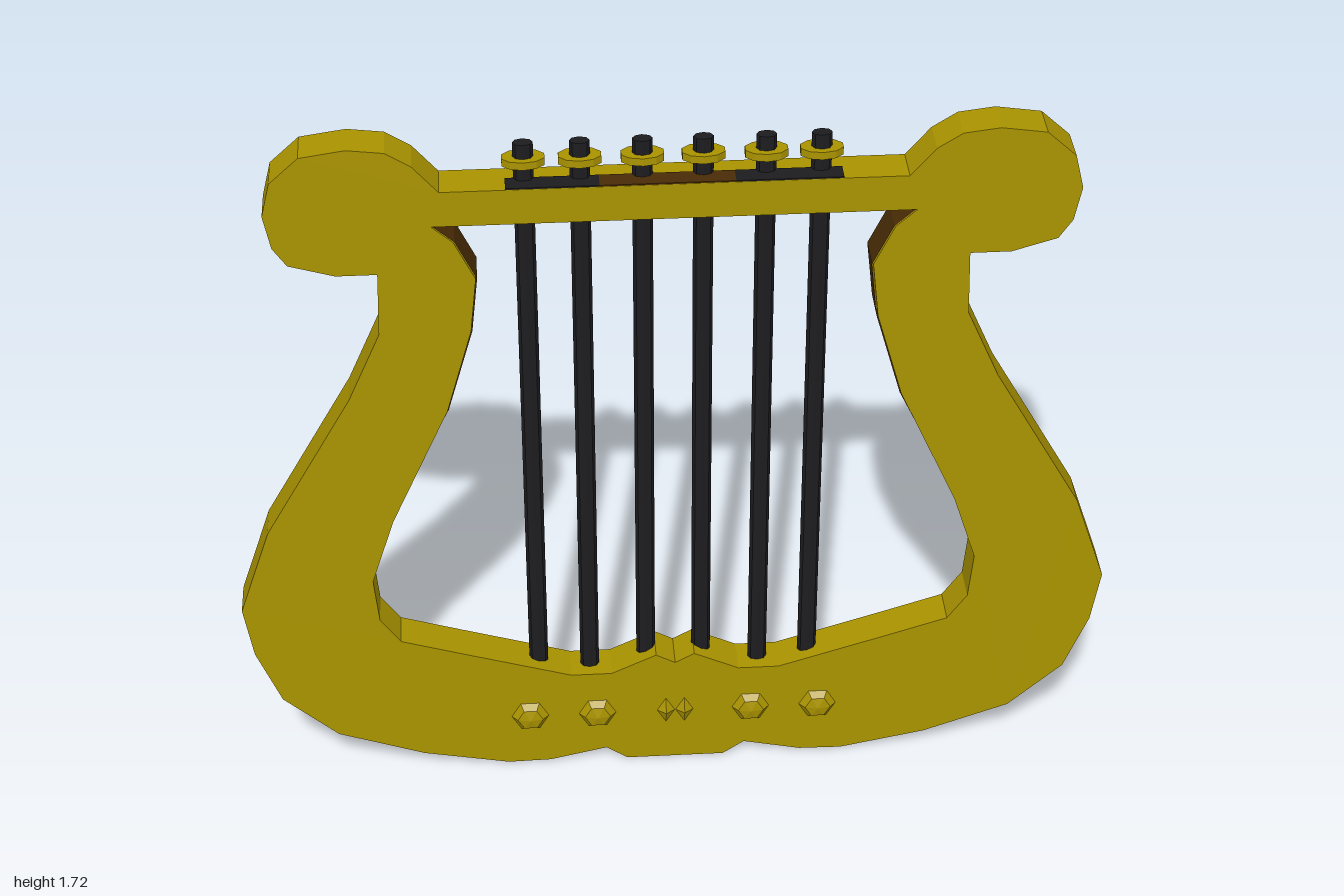
import * as THREE from 'three';

const BACK = -0.055, FRONT = 0.035;

// Right half of the outer edge (bottom to top) and of the opening (top to bottom)
const OUTER = [[0.115, 0], [0.165, 0.035], [0.3, 0.005], [0.4, 0.003], [0.6, 0.043], [0.8, 0.115],
  [0.925, 0.23], [0.98, 0.37], [1, 0.5], [0.925, 0.72], [0.72, 1.08], [0.645, 1.25], [0.64, 1.405],
  [0.73, 1.405], [0.83, 1.435], [0.86, 1.48], [0.875, 1.56], [0.855, 1.64], [0.79, 1.7],
  [0.69, 1.715], [0.61, 1.705], [0.555, 1.67], [0.5, 1.605]];
const INNER = [[0.52, 1.52], [0.475, 1.48], [0.43, 1.385], [0.445, 1.25], [0.505, 1.04], [0.64, 0.74],
  [0.695, 0.57], [0.685, 0.455], [0.64, 0.39], [0.5, 0.345], [0.245, 0.265], [0.15, 0.265], [0.045, 0.315], [0, 0.29]];

// Closes a half outline by mirroring it across x = 0
function mirrored(half) {
  const other = half.filter(p => p[0] > 0).reverse().map(([x, y]) => [-x, y]);
  return [...half, ...other].map(([x, y]) => new THREE.Vector2(x, y));
}

export function createModel() {
  const group = new THREE.Group();
  const gold = new THREE.MeshStandardMaterial({ color: 0xaa9400, flatShading: true });
  const black = new THREE.MeshStandardMaterial({ color: 0x1d1d20, flatShading: true });
  const brown = new THREE.MeshStandardMaterial({ color: 0x4a2c06, flatShading: true, side: THREE.DoubleSide });
  gold.name = 'gold';
  black.name = 'black';
  brown.name = 'darkBrown';

  function add(name, geometry, material, x = 0, y = 0, z = 0) {
    const mesh = new THREE.Mesh(geometry, material);
    mesh.name = name;
    mesh.position.set(x, y, z);
    group.add(mesh);
  }

  // Frame: arms, scrolls, base and crossbar in one slab
  const shape = new THREE.Shape(mirrored(OUTER));
  shape.holes.push(new THREE.Path(mirrored(INNER)));
  add('frame', new THREE.ExtrudeGeometry(shape, { depth: FRONT - BACK, bevelEnabled: false }), gold, 0, 0, BACK);

  // Dark lining on the inside of each upper arm, tapering downwards
  const liningPath = [...INNER.slice(0, 5), [0.595, 0.84]];
  for (const side of [-1, 1]) {
    const pos = [], index = [];
    liningPath.forEach(([x, y], i) => {
      const inset = [0.001, 0.001, 0.001, 0.002, 0.006, 0.036][i];
      pos.push(side * (x - 0.003), y, BACK + inset, side * (x - 0.003), y, FRONT - inset);
      if (i) {
        const a = 2 * i - 2;
        index.push(a, a + 1, a + 2, a + 1, a + 3, a + 2);
      }
    });
    const lining = new THREE.BufferGeometry();
    lining.setAttribute('position', new THREE.Float32BufferAttribute(pos, 3));
    lining.setIndex(index);
    lining.computeVertexNormals();
    add(side > 0 ? 'leftArmLining' : 'rightArmLining', lining, brown);
  }

  // Dark strip on the crossbar under the pegs: black ends, brown middle
  for (const [x0, x1, material] of [[-0.36, -0.16, black], [-0.16, 0.13, brown], [0.13, 0.36, black]]) {
    add('crossbarStrip', new THREE.BoxGeometry(x1 - x0, 0.004, 0.044), material, (x0 + x1) / 2, 1.606, 0.012);
  }

  // Strings with a gold collar on each peg end
  const string = new THREE.CylinderGeometry(0.022, 0.022, 1.445, 8).scale(1, 1, 0.7);
  const collar = new THREE.CylinderGeometry(0.048, 0.048, 0.018, 10).scale(1, 1, 0.62);
  for (const x of [-0.32, -0.2, -0.067, 0.063, 0.197, 0.315]) {
    add('string', string, black, x, 0.9725, -0.009);
    add('collar', collar, gold, x, 1.652, -0.009);
  }

  // Six-sided domed studs along the base
  const profile = [[0.044, 0], [0.03, 0.015], [0, 0.021]].map(([r, h]) => new THREE.Vector2(r, h));
  const stud = new THREE.LatheGeometry(profile, 6).rotateX(Math.PI / 2).rotateZ(Math.PI / 2);
  for (const x of [-0.345, -0.185, 0.18, 0.34]) add('stud', stud, gold, x, 0.145, FRONT);

  // Pair of diamond studs in the middle
  const diamond = new THREE.ConeGeometry(1, 0.015, 4).rotateX(Math.PI / 2).scale(0.021, 0.036, 1);
  for (const x of [-0.022, 0.022]) add('diamondStud', diamond, gold, x, 0.145, FRONT + 0.0075);

  return group;
}
